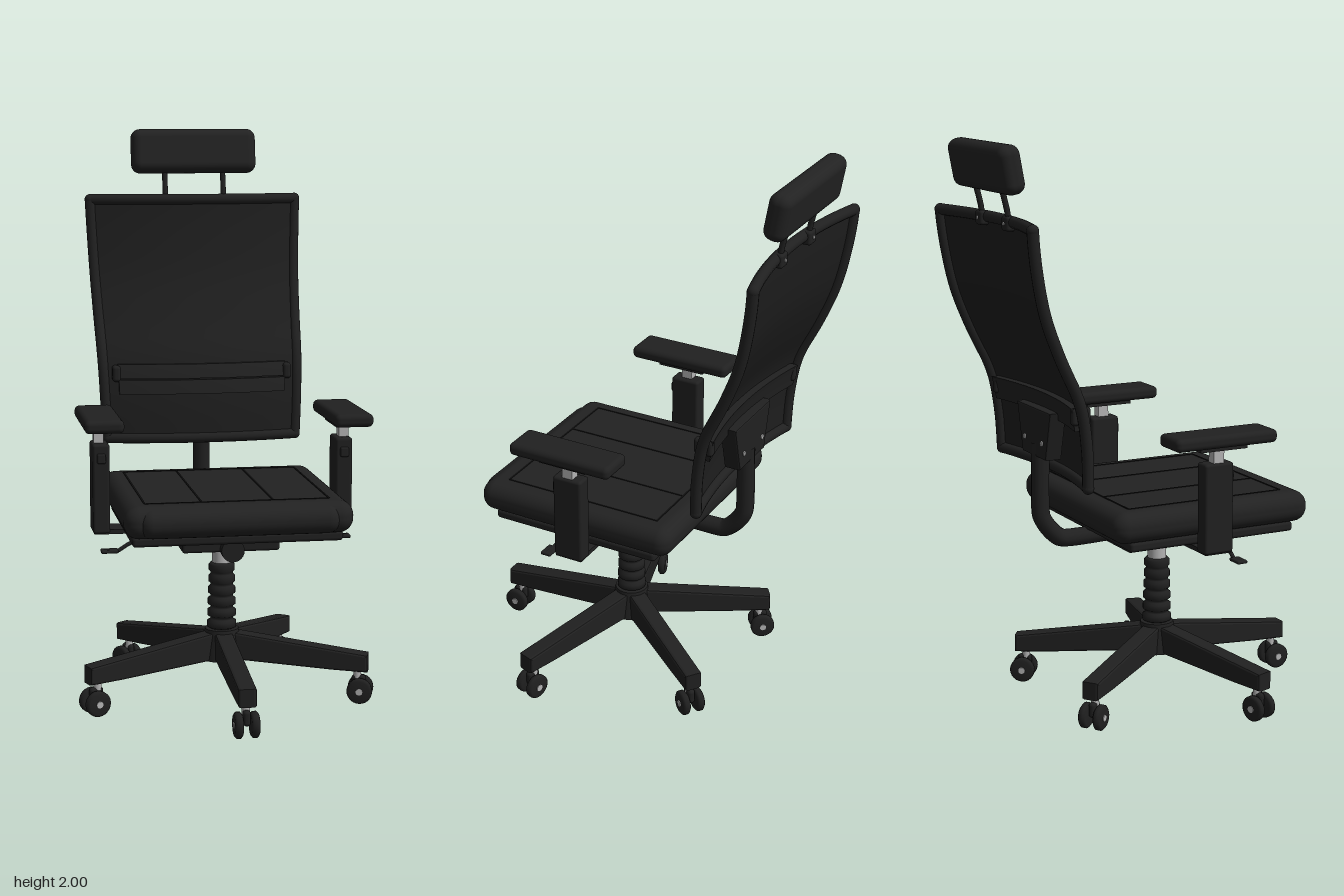
import * as THREE from 'three';
import { RoundedBoxGeometry } from 'three/addons/geometries/RoundedBoxGeometry.js';

const mat = (name, color) => {
  const m = new THREE.MeshStandardMaterial({ color });
  m.name = name;
  return m;
};

export function createModel() {
  const plastic = mat('black plastic', 0x202020);
  const fabric = mat('black fabric', 0x222222);
  const seam = mat('dark seam', 0x101010);
  const metal = mat('brushed metal', 0xb4b4b4);
  const meshCloth = mat('back mesh', 0x1e1e1e);
  meshCloth.side = THREE.DoubleSide;

  const chair = new THREE.Group();
  chair.name = 'officeChair';
  const V = (x, y, z) => new THREE.Vector3(x, y, z);
  const add = (name, geo, material, x = 0, y = 0, z = 0, parent = chair) => {
    const m = new THREE.Mesh(geo, material);
    m.name = name;
    m.position.set(x, y, z);
    parent.add(m);
    return m;
  };
  const rbox = (w, h, d, r) => new RoundedBoxGeometry(w, h, d, 4, r);
  const box = (w, h, d) => new THREE.BoxGeometry(w, h, d);
  const cyl = (r, h, r2 = r) => new THREE.CylinderGeometry(r2, r, h, 24);
  const tube = (pts, r, tension = 0.2) => new THREE.TubeGeometry(
    new THREE.CatmullRomCurve3(pts, false, 'catmullrom', tension), 48, r, 12);
  const HUB_Z = 0.08;

  // Five-legged star base with twin-wheel casters
  const legShape = new THREE.Shape([[0.03, 0.15], [0.4, 0.125], [0.515, 0.12], [0.515, 0.168], [0.03, 0.235]]
    .map(([x, y]) => new THREE.Vector2(x, y)));
  const legGeo = new THREE.ExtrudeGeometry(legShape,
    { depth: 0.045, bevelSize: 0.008, bevelThickness: 0.01, bevelSegments: 2 });
  legGeo.translate(0, 0, -0.0225);
  const wheelGeo = new THREE.LatheGeometry([[0, -0.014], [0.036, -0.014], [0.045, -0.007], [0.045, 0.007], [0.036, 0.014], [0, 0.014]]
    .map(([x, y]) => new THREE.Vector2(x, y)), 24).rotateX(Math.PI / 2);
  for (let i = 0; i < 5; i++) {
    const leg = new THREE.Group();
    leg.name = 'baseLeg';
    leg.position.z = HUB_Z;
    leg.rotation.y = -Math.PI / 2 + (i * Math.PI * 2) / 5;
    chair.add(leg);
    add('legBeam', legGeo, plastic, 0, 0, 0, leg);
    add('casterStem', cyl(0.014, 0.06), metal, 0.485, 0.1, 0, leg);
    add('casterHood', rbox(0.05, 0.055, 0.026, 0.012), plastic, 0.49, 0.07, 0, leg);
    for (const s of [-1, 1]) {
      add('casterWheel', wheelGeo, plastic, 0.495, 0.045, s * 0.028, leg);
      add('wheelCap', cyl(0.012, 0.004).rotateX(Math.PI / 2), metal, 0.495, 0.045, s * 0.043, leg);
    }
  }
  add('baseHub', cyl(0.075, 0.11, 0.06), plastic, 0, 0.195, HUB_Z);

  // Gas column with ribbed sleeve
  const ribs = [new THREE.Vector2(0.042, 0.24)];
  for (let i = 0; i < 6; i++) {
    const y = 0.25 + i * 0.041, r = 0.052 - i * 0.0012;
    ribs.push(...[[0.04, 0], [r, 0.006], [r, 0.026], [0.04, 0.033]].map(([a, b]) => new THREE.Vector2(a, y + b)));
  }
  ribs.push(new THREE.Vector2(0.03, 0.49));
  add('columnSleeve', new THREE.LatheGeometry(ribs, 28), plastic, 0, 0, HUB_Z);
  add('gasColumn', cyl(0.034, 0.14), metal, 0, 0.51, HUB_Z);

  // Tilt mechanism, knob and levers
  add('tiltMechanism', rbox(0.34, 0.055, 0.4, 0.01), plastic, 0, 0.595, 0.08);
  add('tensionKnob', cyl(0.04, 0.035).rotateX(Math.PI / 2), plastic, 0, 0.58, 0.3);
  for (const s of [-1, 1]) {
    const drop = s < 0 ? 0.03 : 0.005;
    add('lever', tube([V(s * 0.15, 0.59, 0.18), V(s * 0.33, 0.592, 0.18), V(s * 0.38, 0.595 - drop, 0.18),
      V(s * 0.43, 0.595 - drop, 0.18)], 0.007), plastic);
    add('leverPaddle', rbox(0.06, 0.012, 0.04, 0.005), plastic, s * 0.41, 0.595 - drop, 0.18);
    for (const z of [0.2, -0.1]) add('mechanismBolt', cyl(0.01, 0.006).rotateZ(Math.PI / 2), metal, s * 0.171, 0.6, z);
  }

  // Seat
  add('seatPan', rbox(0.72, 0.035, 0.64, 0.012), plastic, 0, 0.645, 0.11);
  add('seatCushion', rbox(0.78, 0.11, 0.76, 0.05), fabric, 0, 0.715, 0.105);
  add('seatFrontRoll', rbox(0.69, 0.1, 0.12, 0.048), fabric, 0, 0.712, 0.44);
  for (const x of [-0.315, -0.122, 0.122, 0.315]) add('seatSeam', box(0.006, 0.004, 0.6), seam, x, 0.77, 0.1);
  for (const z of [-0.197, 0.4]) add('seatSeam', box(0.63, 0.004, 0.006), seam, 0, 0.77, z);

  // Armrests
  for (const s of [-1, 1]) {
    const arm = new THREE.Group();
    arm.name = s > 0 ? 'leftArmrest' : 'rightArmrest';
    chair.add(arm);
    add('armBracket', box(0.32, 0.016, 0.1), plastic, s * 0.295, 0.62, 0.075, arm);
    add('armPost', rbox(0.06, 0.315, 0.11, 0.01), plastic, s * 0.43, 0.772, 0.075, arm);
    add('armSlider', box(0.035, 0.09, 0.04), metal, s * 0.435, 0.945, 0.075, arm);
    add('armPadPlate', box(0.08, 0.02, 0.18), plastic, s * 0.43, 0.985, 0.085, arm);
    add('armPad', rbox(0.135, 0.046, 0.39, 0.018), plastic, s * 0.4325, 1.012, 0.085, arm);
    add('heightButton', rbox(0.03, 0.035, 0.016, 0.006), plastic, s * 0.43, 0.88, 0.132, arm);
  }

  // Backrest surface: forward-bulging sheet following a side profile
  const side = new THREE.SplineCurve([-0.305, -0.31, -0.335, -0.4, -0.455, -0.485, -0.5]
    .map((z, i) => new THREE.Vector2(i, z)));
  const Y0 = 0.87, Y1 = 1.74;
  const onBack = (u, y, depth) => {
    const t = THREE.MathUtils.clamp((y - Y0) / (Y1 - Y0), 0, 1);
    return V(u * (0.353 + 0.036 * t), y, side.getPoint(t).y - (0.042 + 0.013 * t) * u * u - depth);
  };
  const backSlab = (u, y0, y1, depth, thick) => {
    const g = new THREE.BoxGeometry(1, 1, 1, 24, 24, 1), p = g.attributes.position;
    for (let i = 0; i < p.count; i++) {
      const v = onBack(p.getX(i) * 2 * u, y0 + (p.getY(i) + 0.5) * (y1 - y0), depth + (0.5 - p.getZ(i)) * thick);
      p.setXYZ(i, v.x, v.y, v.z);
    }
    g.computeVertexNormals();
    return g;
  };
  add('backMesh', backSlab(0.98, Y0, Y1, 0.012, 0.008), meshCloth);

  // Backrest frame and front piping
  const edge = (a, b, depth) => Array.from({ length: 17 }, (_, i) =>
    onBack(...[0, 1].map((k) => a[k] + ((b[k] - a[k]) * i) / 16), depth));
  const corners = [[-1, Y0], [1, Y0], [1, Y1], [-1, Y1]];
  corners.forEach((c, i) => {
    add('backFrame', tube(edge(c, corners[(i + 1) % 4], 0.02), 0.02, 0.5), plastic);
    const v = onBack(...c, 0.02);
    add('frameCorner', new THREE.SphereGeometry(0.0205, 16, 12), plastic, v.x, v.y, v.z);
  });

  // Lumbar support
  for (const y of [1.035, 1.092]) add('lumbarBand', backSlab(0.86, y, y + 0.052, -0.004, 0.016), fabric);
  add('lumbarBar', backSlab(0.9, 1.06, 1.14, 0.022, 0.028), plastic);
  for (const s of [-1, 1]) {
    const v = onBack(s * 0.88, 1.11, 0.02);
    add('lumbarKnob', rbox(0.03, 0.06, 0.07, 0.012), plastic, v.x, v.y, v.z);
  }

  // Spine and its mounting plate
  add('spine', tube([V(0, 0.608, -0.08), V(0, 0.608, -0.3), V(0, 0.7, -0.378), V(0, 0.96, -0.378)], 0.032, 0.25), plastic);
  const plateShape = new THREE.Shape([[-0.09, 0.92], [0.09, 0.92], [0.13, 1.08], [-0.13, 1.08]]
    .map(([x, y]) => new THREE.Vector2(x, y)));
  add('spinePlate', new THREE.ExtrudeGeometry(plateShape,
    { depth: 0.05, bevelSize: 0.006, bevelThickness: 0.006, bevelSegments: 2 }), plastic, 0, 0, -0.398);
  for (const s of [-1, 1]) add('plateBolt', cyl(0.009, 0.006).rotateX(Math.PI / 2), metal, s * 0.07, 0.97, -0.405);

  // Headrest on two stalks
  for (const s of [-1, 1]) {
    add('headrestStalk', tube([V(s * 0.11, 1.71, -0.53), V(s * 0.11, 1.78, -0.54), V(s * 0.11, 1.88, -0.565)], 0.01), plastic);
    add('stalkClamp', rbox(0.05, 0.05, 0.035, 0.01), plastic, s * 0.11, 1.735, -0.535);
    add('clampBolt', cyl(0.006, 0.004).rotateX(Math.PI / 2), metal, s * 0.11, 1.735, -0.554);
  }
  add('headrest', rbox(0.47, 0.164, 0.08, 0.034), fabric, 0, 1.918, -0.567).rotation.x = -0.18;

  return chair;
}
